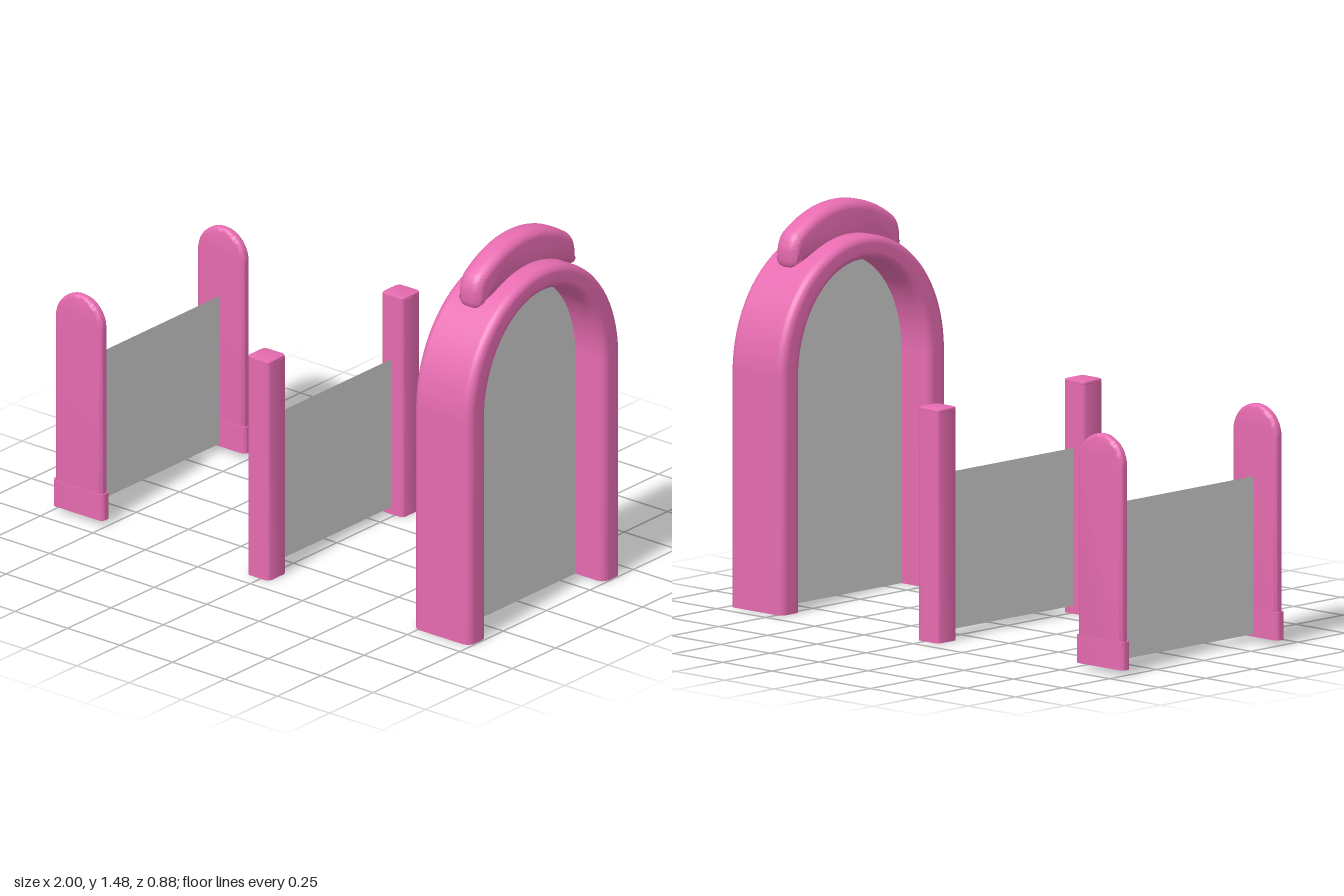
import * as THREE from 'three';
import { toCreasedNormals } from 'three/addons/utils/BufferGeometryUtils.js';

const pink = new THREE.MeshStandardMaterial({ color: 0xe66bb0 });
const grey = new THREE.MeshStandardMaterial({ color: 0xcccccc, side: THREE.DoubleSide });

function add(parent, name, geometry, material, x = 0, y = 0, z = 0) {
  const mesh = new THREE.Mesh(geometry, material);
  mesh.name = name;
  mesh.position.set(x, y, z);
  parent.add(mesh);
  return mesh;
}

// Rounded rectangle outline, counter-clockwise, centred on the origin
function roundedRect(w, h, r, steps = 5) {
  const pts = [];
  [[1, 1], [-1, 1], [-1, -1], [1, -1]].forEach(([sx, sy], c) => {
    for (let i = 0; i <= steps; i++) {
      const a = (c + i / steps) * Math.PI / 2;
      pts.push(new THREE.Vector2(sx * (w / 2 - r) + r * Math.cos(a), sy * (h / 2 - r) + r * Math.sin(a)));
    }
  });
  return pts;
}

// Upright hollow sleeve, open at top and bottom
function sleeve(w, d, r, wall, y0, y1) {
  const shape = new THREE.Shape(roundedRect(w, d, r));
  shape.holes.push(new THREE.Path(roundedRect(w - 2 * wall, d - 2 * wall, r - wall / 2)));
  const g = new THREE.ExtrudeGeometry(shape, { depth: y1 - y0, bevelEnabled: false });
  g.rotateX(-Math.PI / 2).translate(0, y0, 0);
  return toCreasedNormals(g, 0.6);
}

// Arch outline in (z, y): straight legs and an elliptical top
const SPRING = 0.88;
function archLine(halfWidth, top, steps = 40) {
  const pts = [[halfWidth, 0], [halfWidth, SPRING / 2]];
  for (let i = 0; i <= steps; i++) {
    const a = Math.PI * i / steps;
    pts.push([halfWidth * Math.cos(a), SPRING + (top - SPRING) * Math.sin(a)]);
  }
  pts.push([-halfWidth, SPRING / 2], [-halfWidth, 0]);
  return pts;
}

// Rounded section swept between the inner and outer arch lines
function archFrame() {
  const inner = archLine(0.335, 1.27), outer = archLine(0.44, 1.36);
  const thick = 0.105, section = roundedRect(0.27, thick, 0.032);
  const n = section.length, pos = [], idx = [];
  const ring = k => section.forEach(p => {
    const s = p.y / thick + 0.5;
    pos.push(p.x,
      THREE.MathUtils.lerp(inner[k][1], outer[k][1], s),
      THREE.MathUtils.lerp(inner[k][0], outer[k][0], s));
  });
  inner.forEach((_, k) => ring(k));
  for (let k = 0; k < inner.length - 1; k++) {
    for (let i = 0; i < n; i++) {
      const a = k * n + i, b = k * n + (i + 1) % n;
      idx.push(a, a + n, b, b, a + n, b + n);
    }
  }
  // Flat feet of the legs
  const first = pos.length / 3;
  ring(0);
  ring(inner.length - 1);
  for (let i = 1; i < n - 1; i++) {
    idx.push(first, first + i, first + i + 1);
    idx.push(first + n, first + n + i, first + n + i + 1);
  }
  const g = new THREE.BufferGeometry();
  g.setAttribute('position', new THREE.Float32BufferAttribute(pos, 3));
  g.setIndex(idx);
  // Make the winding face outward, checked by signed volume
  const a = new THREE.Vector3(), b = new THREE.Vector3(), c = new THREE.Vector3();
  let volume = 0;
  const sideEnd = (inner.length - 1) * n * 6;
  for (let i = 0; i < sideEnd; i += 3) {
    a.fromArray(pos, idx[i] * 3); b.fromArray(pos, idx[i + 1] * 3); c.fromArray(pos, idx[i + 2] * 3);
    volume += a.dot(b.cross(c));
  }
  for (let i = 0; i < idx.length; i += 3) {
    let flip = volume < 0;
    if (i >= sideEnd) {
      a.fromArray(pos, idx[i] * 3); b.fromArray(pos, idx[i + 1] * 3); c.fromArray(pos, idx[i + 2] * 3);
      flip = b.sub(a).cross(c.sub(a)).y > 0;
    }
    if (flip) [idx[i + 1], idx[i + 2]] = [idx[i + 2], idx[i + 1]];
  }
  g.setIndex(idx);
  g.computeVertexNormals();
  return g;
}

// Rounded crest riding on top of the arch
function crest() {
  const s = new THREE.Shape();
  s.moveTo(0.275, 1.265);
  s.quadraticCurveTo(0.292, 1.27, 0.288, 1.335);
  s.quadraticCurveTo(0.28, 1.38, 0.25, 1.4);
  s.bezierCurveTo(0.17, 1.455, 0.09, 1.482, 0, 1.482);
  s.bezierCurveTo(-0.09, 1.482, -0.17, 1.455, -0.25, 1.4);
  s.quadraticCurveTo(-0.28, 1.38, -0.288, 1.335);
  s.quadraticCurveTo(-0.292, 1.27, -0.275, 1.265);
  s.quadraticCurveTo(0, 1.36, 0.275, 1.265);
  const g = new THREE.ExtrudeGeometry(s, {
    depth: 0.025, bevelThickness: 0.04, bevelSize: 0.032, bevelOffset: -0.032, bevelSegments: 6, curveSegments: 10,
  });
  g.translate(0, 0, -0.0125).rotateY(Math.PI / 2);
  return toCreasedNormals(g, 0.9);
}

// Flat post with a semicircular top
function paddle() {
  const r = 0.112, s = new THREE.Shape();
  s.moveTo(-r, 0.04);
  s.lineTo(r, 0.04);
  s.lineTo(r, 0.778);
  s.absarc(0, 0.778, r, 0, Math.PI, false);
  s.closePath();
  const g = new THREE.ExtrudeGeometry(s, {
    depth: 0.01, bevelThickness: 0.015, bevelSize: 0.015, bevelOffset: -0.015, bevelSegments: 4, curveSegments: 20,
  });
  g.translate(0, 0, -0.005);
  return toCreasedNormals(g, 0.9);
}

// Thin upright sheet spanning the two posts
function sheet(width) {
  return new THREE.PlaneGeometry(width, 0.59).rotateY(Math.PI / 2).translate(0, 0.325, 0);
}

export function createModel() {
  const model = new THREE.Group();
  model.name = 'gates';

  // Tall arched gate
  const arch = new THREE.Group();
  arch.name = 'archGate';
  arch.position.x = 0.86;
  add(arch, 'archFrame', archFrame(), pink);
  add(arch, 'archCrest', crest(), pink);
  const opening = new THREE.Shape(archLine(0.345, 1.28).map(([z, y]) => new THREE.Vector2(z, y)));
  add(arch, 'archPanel', new THREE.ShapeGeometry(opening).rotateY(Math.PI / 2), grey);

  // Middle gate with square posts
  const middle = new THREE.Group();
  middle.name = 'squareGate';
  middle.position.x = -0.015;
  add(middle, 'squarePanel', sheet(0.75), grey);

  // Low gate with round-topped posts
  const low = new THREE.Group();
  low.name = 'roundGate';
  low.position.x = -0.88;
  add(low, 'roundPanel', sheet(0.82), grey);

  for (const side of [1, -1]) {
    add(middle, 'squarePost', sleeve(0.108, 0.105, 0.02, 0.01, 0, 0.862), pink, 0, 0, side * 0.387);
    const cap = new THREE.ExtrudeGeometry(new THREE.Shape(roundedRect(0.108, 0.105, 0.02)), {
      depth: 0.004, bevelThickness: 0.006, bevelSize: 0.006, bevelOffset: -0.006, bevelSegments: 2,
    }).rotateX(-Math.PI / 2);
    add(middle, 'squarePostCap', toCreasedNormals(cap, 0.6), pink, 0, 0.864, side * 0.387);

    add(low, 'roundPost', paddle(), pink, 0, 0, side * 0.41);
    add(low, 'roundPostFoot', sleeve(0.242, 0.046, 0.018, 0.006, 0.02, 0.125), pink, 0, 0, side * 0.41);
  }

  model.add(arch, middle, low);
  return model;
}
